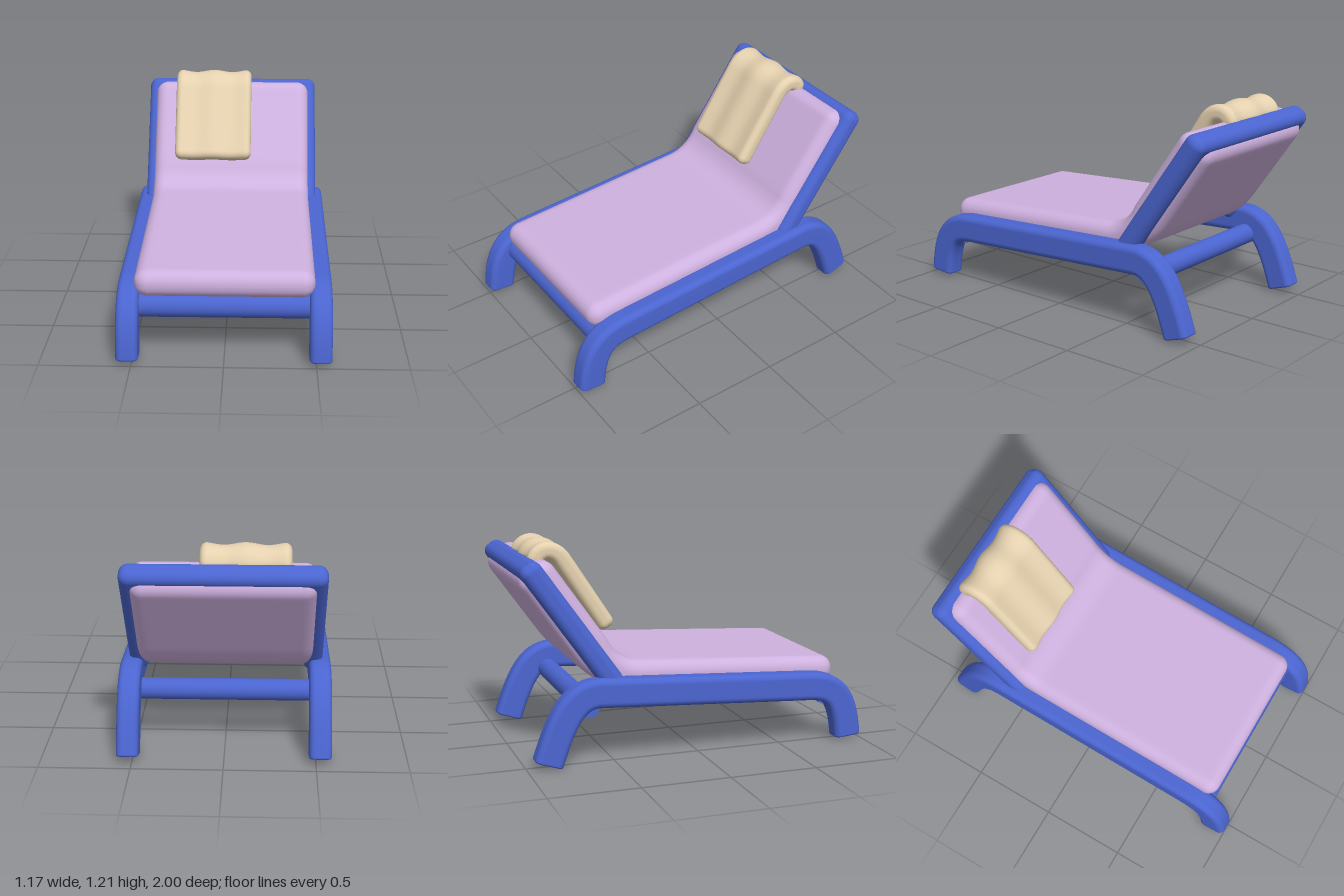
import * as THREE from 'three';
import { RoundedBoxGeometry } from 'three/addons/geometries/RoundedBoxGeometry.js';

const RECLINE = 0.616; // backrest tilt from vertical, radians

// Sweeps a rounded rectangle along a curve in the side plane (curve x = z, curve y = y).
// w: half width, h(u): half thickness, r: edge radius, e: end radius, wave(x): ripple along the normal.
function sweep(curve, { w, h, r, e = r, steps = 48, wave = () => 0 }) {
  const length = curve.getLength();
  const round = 8, across = 32, stations = [];
  for (let k = 0; k <= round; k++) {
    const a = (k / round) * Math.PI / 2;
    stations.push([(e * (1 - Math.cos(a))) / length, r - e * (1 - Math.sin(a))]);
  }
  const ends = stations.map(([u, rho]) => [1 - u, rho]).reverse();
  const u0 = e / length;
  for (let k = 1; k < steps; k++) stations.push([u0 + (1 - 2 * u0) * k / steps, r]);
  stations.push(...ends);

  const positions = [], index = [];
  let count = 0;
  const section = (u, rho) => {
    const pts = [], cx = w - r, cy = h(u) - r;
    [[1, 1], [-1, 1], [-1, -1], [1, -1]].forEach(([sx, sy], q) => {
      for (let k = 0; k <= round; k++) {
        const a = (q + k / round) * Math.PI / 2;
        pts.push([sx * cx + rho * Math.cos(a), sy * cy + rho * Math.sin(a)]);
      }
      if (q % 2 === 0) {
        for (let k = 1; k < across; k++) pts.push([sx * cx * (1 - 2 * k / across), sy * (cy + rho)]);
      }
    });
    return pts;
  };
  const place = (p, t, x, n) => {
    const d = n + wave(x);
    positions.push(x, p.y - t.x * d, p.x + t.y * d);
  };
  for (const [u, rho] of stations) {
    const p = curve.getPointAt(u), t = curve.getTangentAt(u);
    const pts = section(u, rho);
    count = pts.length;
    pts.forEach(([x, n]) => place(p, t, x, n));
  }
  const rings = stations.length;
  for (let i = 0; i < rings - 1; i++) {
    for (let j = 0; j < count; j++) {
      const k = (j + 1) % count, a = i * count, b = a + count;
      index.push(a + j, b + j, a + k, b + j, b + k, a + k);
    }
  }
  // End caps
  const first = rings * count, last = (rings - 1) * count;
  place(curve.getPointAt(0), curve.getTangentAt(0), 0, 0);
  place(curve.getPointAt(1), curve.getTangentAt(1), 0, 0);
  for (let j = 0; j < count; j++) {
    const k = (j + 1) % count;
    index.push(first, j, k, first + 1, last + k, last + j);
  }
  const geometry = new THREE.BufferGeometry();
  geometry.setAttribute('position', new THREE.Float32BufferAttribute(positions, 3));
  geometry.setIndex(index);
  geometry.computeVertexNormals();
  return geometry;
}

export function createModel() {
  const frameBlue = new THREE.MeshStandardMaterial({ name: 'frameBlue', color: 0x4b65d0 });
  const cushionLilac = new THREE.MeshStandardMaterial({ name: 'cushionLilac', color: 0xceb1df });
  const towelBeige = new THREE.MeshStandardMaterial({ name: 'towelBeige', color: 0xe5d1af });

  const model = new THREE.Group();
  model.name = 'loungeChair';
  const add = (parent, name, geometry, material, x = 0, y = 0, z = 0) => {
    const mesh = new THREE.Mesh(geometry, material);
    mesh.name = name;
    mesh.position.set(x, y, z);
    parent.add(mesh);
    return mesh;
  };

  // Side rails, each one piece with its front and rear legs
  const railPath = new THREE.Path();
  railPath.moveTo(0.92, 0.026);
  railPath.bezierCurveTo(0.9, 0.25, 0.84, 0.334, 0.68, 0.341);
  railPath.lineTo(-0.58, 0.407);
  railPath.bezierCurveTo(-0.73, 0.415, -0.8, 0.28, -0.882, 0.03);
  const railGeometry = sweep(railPath, { w: 0.061, h: () => 0.082, r: 0.036, e: 0.012, steps: 80 });
  add(model, 'leftRail', railGeometry, frameBlue, 0.5235);
  add(model, 'rightRail', railGeometry, frameBlue, -0.5235);

  // Crossbars
  const crossbar = (name, radius, y, z) => {
    const geometry = new THREE.CylinderGeometry(radius, radius, 1.02, 32);
    add(model, name, geometry, frameBlue, 0, y, z).rotation.z = Math.PI / 2;
  };
  crossbar('frontCrossbar', 0.069, 0.284, 0.796);
  crossbar('rearCrossbar', 0.06, 0.325, -0.637);

  // Puffy cushion, bent between seat and backrest and thicker on the backrest
  const cushionPath = new THREE.Path();
  cushionPath.moveTo(0.86, 0.41);
  cushionPath.lineTo(-0.33, 0.475);
  cushionPath.quadraticCurveTo(-0.491, 0.484, -0.581, 0.593);
  cushionPath.lineTo(-0.936, 1.095);
  const cushionHalf = u => 0.078 + 0.031 * THREE.MathUtils.smoothstep(u, 0.58, 0.74);
  add(model, 'cushion', sweep(cushionPath, { w: 0.492, h: cushionHalf, r: 0.072, steps: 90 }), cushionLilac);

  // Reclined backrest frame: local y runs up the back, local z out of its face
  const backrest = new THREE.Group();
  backrest.name = 'backrest';
  backrest.rotation.x = -RECLINE;
  model.add(backrest);
  const postGeometry = new RoundedBoxGeometry(0.11, 0.86, 0.125, 6, 0.05);
  add(backrest, 'leftPost', postGeometry, frameBlue, 0.485, 1.046, -0.144);
  add(backrest, 'rightPost', postGeometry, frameBlue, -0.485, 1.046, -0.144);
  add(backrest, 'topBar', new RoundedBoxGeometry(1.08, 0.11, 0.125, 6, 0.05), frameBlue, 0, 1.421, -0.144);

  // Rippled towel lying on the backrest and folded over the top of the cushion
  const towelPath = new THREE.Path();
  towelPath.moveTo(0.028, 0.864);
  towelPath.lineTo(0.046, 1.33);
  towelPath.bezierCurveTo(0.05, 1.44, -0.055, 1.462, -0.08, 1.395);
  const ripple = x => 0.007 * Math.cos(x * 2 * Math.PI / 0.23);
  add(backrest, 'towel', sweep(towelPath, { w: 0.24, h: () => 0.049, r: 0.04, wave: ripple }), towelBeige, -0.115);

  return model;
}
